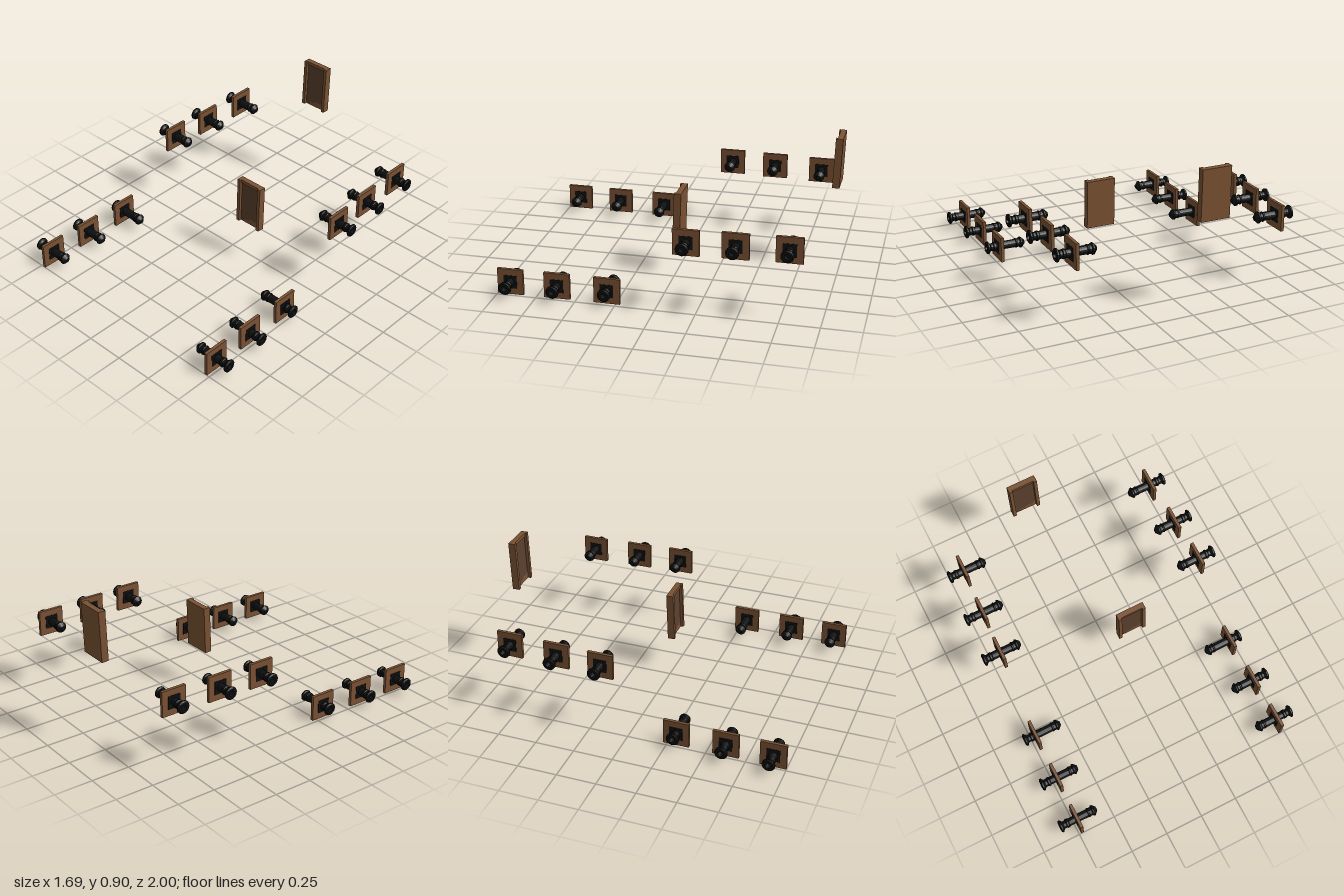
import * as THREE from 'three';

export function createModel() {
  const model = new THREE.Group();
  const mat = (name, color) => {
    const m = new THREE.MeshStandardMaterial({ color, flatShading: true });
    m.name = name;
    return m;
  };
  const wood = mat('wood', 0x7a5233);
  const darkWood = mat('dark wood', 0x5a402e);
  const iron = mat('black iron', 0x0e0f10);

  const add = (parent, name, geo, material, x = 0, y = 0, z = 0) => {
    const mesh = new THREE.Mesh(geo, material);
    mesh.name = name;
    mesh.position.set(x, y, z);
    parent.add(mesh);
    return mesh;
  };

  // Barrel profile from breech to muzzle: [radius, distance along barrel]
  const profile = [
    [0, 0], [0.014, 0], [0.022, 0.008], [0.036, 0.022], [0.036, 0.03],
    [0.028, 0.036], [0.028, 0.05], [0.031, 0.054], [0.031, 0.06], [0.027, 0.064],
    [0.026, 0.195], [0.03, 0.2], [0.03, 0.212], [0.025, 0.217], [0.025, 0.232],
    [0.032, 0.24], [0.041, 0.245], [0.041, 0.254], [0.032, 0.26], [0.018, 0.26],
    [0.016, 0.225], [0, 0.225],
  ].map(([r, y]) => new THREE.Vector2(r, y));
  const barrelGeo = new THREE.LatheGeometry(profile, 16);
  const plateGeo = new THREE.BoxGeometry(0.02, 0.165, 0.165);
  const portGeo = new THREE.BoxGeometry(0.026, 0.084, 0.084);

  // Cannons: [side, plate x, muzzle end x, y, z]
  const cannons = [
    [-1, 0.675, 0.782, 0.45, -0.797], [-1, 0.691, 0.811, 0.45, -0.48], [-1, 0.706, 0.825, 0.45, -0.185],
    [-1, 0.72, 0.8, 0.083, 0.305], [-1, 0.722, 0.832, 0.083, 0.62], [-1, 0.727, 0.846, 0.083, 0.916],
    [1, 0.682, 0.79, 0.45, -0.797], [1, 0.698, 0.819, 0.45, -0.48], [1, 0.714, 0.833, 0.45, -0.185],
    [1, 0.714, 0.797, 0.083, 0.305], [1, 0.717, 0.827, 0.083, 0.62], [1, 0.722, 0.84, 0.083, 0.916],
  ];
  for (const [side, plateX, endX, y, z] of cannons) {
    const cannon = new THREE.Group();
    cannon.name = 'cannon';
    cannon.position.set(0, y, z);
    add(cannon, 'gunPortPlate', plateGeo, wood, side * plateX);
    add(cannon, 'gunPortOpening', portGeo, iron, side * plateX);
    const barrel = add(cannon, 'barrel', barrelGeo, iron, side * (endX - 0.26));
    barrel.rotation.z = -side * Math.PI / 2;
    model.add(cannon);
  }

  // Worn patch along the foot of a door panel
  const worn = new THREE.Shape();
  worn.moveTo(-0.045, -0.157);
  [[0.073, -0.157], [0.073, -0.09], [0.058, -0.118], [0.035, -0.123], [0.012, -0.119],
    [-0.012, -0.135], [-0.035, -0.133]].forEach(([x, y]) => worn.lineTo(x, y));
  const wornGeo = new THREE.ShapeGeometry(worn);

  // Doors: a recessed panel inside a frame, leaning slightly back
  const addDoor = (x, y, z, height) => {
    const door = new THREE.Group();
    door.name = 'door';
    door.position.set(x, y, z);
    door.rotation.x = -0.035;
    for (const s of [-1, 1]) {
      add(door, 'doorPost', new THREE.BoxGeometry(0.022, height, 0.046), wood, s * 0.084, 0, 0);
    }
    add(door, 'topRail', new THREE.BoxGeometry(0.146, 0.022, 0.036), wood, 0, height / 2 - 0.011, -0.005);
    add(door, 'panel', new THREE.BoxGeometry(0.146, height - 0.022, 0.026), darkWood, 0, -0.011, -0.009);
    add(door, 'doorBack', new THREE.BoxGeometry(0.146, height - 0.022, 0.002), wood, 0, -0.011, -0.022);
    add(door, 'wornPatch', wornGeo, wood, 0, (0.316 - height) / 2, 0.0055);
    model.add(door);
  };
  addDoor(-0.14, 0.733, -0.971, 0.324);
  addDoor(0.14, 0.398, -0.014, 0.314);

  return model;
}
